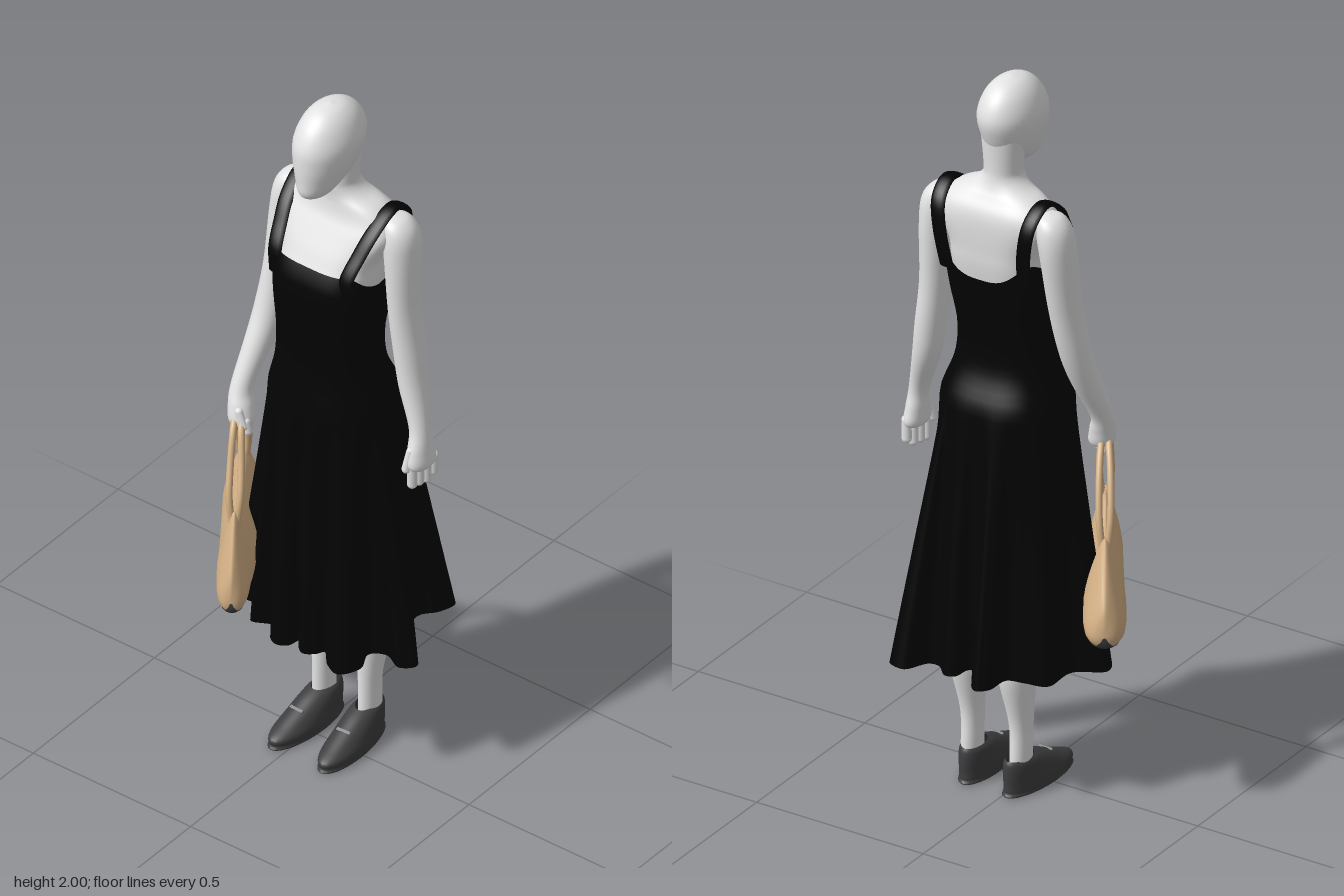
import * as THREE from 'three';

const mat = (name, color, side = THREE.FrontSide) => {
  const m = new THREE.MeshStandardMaterial({ color, side });
  m.name = name;
  return m;
};

// Smooth value of every column of a table at a fractional row index
function at(rows, t) {
  const i = Math.min(Math.floor(t), rows.length - 2), f = t - i;
  const row = k => rows[Math.max(0, Math.min(rows.length - 1, k))];
  return rows[0].map((_, c) => {
    const [a, b, d, e] = [row(i - 1)[c], row(i)[c], row(i + 1)[c], row(i + 2)[c]];
    return b + 0.5 * f * (d - a + f * (2 * a - 5 * b + 4 * d - e + f * (3 * (b - d) + e - a)));
  });
}

// Grid surface from fn(u, v); closed wraps u around
function grid(nu, nv, fn, closed = true) {
  const pos = [], idx = [], w = closed ? nu : nu + 1;
  for (let j = 0; j <= nv; j++) for (let i = 0; i < w; i++) pos.push(...fn(i / nu, j / nv));
  for (let j = 0; j < nv; j++) for (let i = 0; i < nu; i++) {
    const a = j * w + i, b = j * w + (i + 1) % w;
    idx.push(a, b, a + w, b, b + w, a + w);
  }
  const g = new THREE.BufferGeometry();
  g.setAttribute('position', new THREE.Float32BufferAttribute(pos, 3));
  g.setIndex(idx);
  g.computeVertexNormals();
  return g;
}

// Point on a rounded ring: row = [y, cx, cz, rx, rz, squareness]
function ringPoint([y, cx, cz, rx, rz, n = 2], a) {
  const p = v => Math.sign(v) * Math.abs(v) ** (2 / n);
  return [cx + Math.max(0, rx) * p(Math.cos(a)), y, cz + Math.max(0, rz) * p(Math.sin(a))];
}
const loft = (rows, nu = 36) => grid(nu, (rows.length - 1) * 5, (u, v) =>
  ringPoint(at(rows, v * (rows.length - 1)), u * Math.PI * 2));

const HEAD = [[2, .045, -.02, 0, 0], [1.99, .045, -.02, .034, .05], [1.96, .045, -.02, .062, .09],
  [1.91, .045, -.017, .079, .114], [1.86, .045, -.01, .075, .112], [1.81, .045, .002, .06, .099],
  [1.775, .045, .024, .044, .074], [1.757, .045, .034, .029, .046], [1.75, .045, .034, 0, 0]];
const TORSO = [[1.85, .045, -.06, .058, .054, 2], [1.77, .045, -.058, .051, .052, 2], [1.74, .045, -.059, .054, .053, 2],
  [1.715, .045, -.064, .078, .056, 2.2], [1.692, .047, -.07, .124, .063, 2.5], [1.66, .048, -.075, .156, .076, 2.8],
  [1.62, .05, -.067, .164, .09, 3], [1.55, .05, -.047, .134, .108, 3.1], [1.48, .05, -.033, .13, .117, 3], [1.3, .045, -.02, .115, .1, 2.5]];
const LEFT_ARM = [[1.678, .202, -.085, 0, 0], [1.669, .207, -.085, .03, .036], [1.63, .219, -.085, .045, .053],
  [1.55, .226, -.085, .044, .056], [1.4, .231, -.085, .039, .05], [1.27, .244, -.088, .039, .047],
  [1.17, .259, -.084, .036, .042], [1.06, .291, -.068, .026, .031], [1, .299, -.062, .028, .043],
  [.955, .303, -.062, .027, .046], [.935, .304, -.062, 0, 0]];
const RIGHT_ARM = [[1.678, -.11, -.085, 0, 0], [1.669, -.115, -.085, .03, .036], [1.63, -.126, -.085, .045, .053],
  [1.55, -.136, -.08, .044, .056], [1.4, -.143, -.06, .041, .05], [1.27, -.154, -.033, .04, .046],
  [1.17, -.163, .005, .036, .043], [1.06, -.174, .058, .029, .033], [1.01, -.166, .075, .033, .036],
  [.965, -.158, .083, .032, .034], [.945, -.157, .085, 0, 0]];
const LEG = [[.95, .115, -.06, .065, .08], [.6, .122, -.078, .056, .064], [.5, .124, -.098, .05, .052],
  [.4, .126, -.097, .047, .054], [.33, .126, -.096, .046, .055], [.2, .122, -.084, .029, .038],
  [.1, .121, -.085, .026, .038], [.05, .121, -.085, .026, .038]];
const SHOE = [[.1, 0, -.085, .027, .048], [.09, 0, -.074, .035, .064], [.072, 0, -.055, .041, .085], [.05, 0, -.03, .045, .11],
  [.03, 0, -.008, .048, .131], [.012, 0, -.008, .047, .131], [0, 0, -.008, .043, .126], [0, 0, -.008, 0, 0]];
const DRESS = [[1.57, .05, -.047, .141, .117, 3.2], [1.5, .05, -.033, .144, .131, 3.2], [1.42, .048, -.027, .142, .128, 3],
  [1.3, .045, -.02, .133, .119, 2.6], [1.2, .046, -.021, .14, .122, 2.5], [1.1, .048, -.035, .168, .146, 2.5]];
// Folded hem outline (x, z), starting at the side slit
const HEM = [[.23, -.1], [.3, -.04], [.338, .005], [.305, .037], [.25, .015], [.212, .04], [.232, .1], [.2, .154],
  [.155, .137], [.118, .1], [.105, .12], [.077, .138], [.05, .12], [.038, .1], [.028, .135], [0, .149], [-.028, .135],
  [-.05, .09], [-.11, .11], [-.13, .05], [-.21, .045], [-.232, -.005], [-.16, -.06], [-.15, -.155], [-.09, -.172],
  [-.045, -.185], [-.036, -.25], [-.01, -.274], [.018, -.25], [.03, -.185], [.065, -.19], [.075, -.235], [.1, -.246],
  [.14, -.212], [.168, -.215], [.205, -.275], [.256, -.262], [.245, -.21], [.213, -.165]];

// One-piece dress: fitted bodice, then straight blend from hip to folded hem with a slit
function dressGeometry() {
  const curve = new THREE.CatmullRomCurve3(HEM.map(([x, z]) => new THREE.Vector3(x, 0, z)), true);
  const hip = DRESS[DRESS.length - 1], hemY = .365, n = HEM.length * 8, TAU = Math.PI * 2;
  // Hip angle for each hem sample, kept rising and then evened out
  const raw = [];
  for (let i = 0; i < n; i++) {
    const h = curve.getPoint(i / n);
    let a = Math.atan2((h.z - hip[2]) / hip[4], (h.x - hip[1]) / hip[3]);
    if (i > n / 2 && a < 0) a += TAU;
    raw.push(i ? Math.max(a, raw[i - 1]) : a);
  }
  const angleAt = i => {
    let sum = 0;
    for (let k = i - 12; k <= i + 12; k++) sum += raw[(k + n) % n] + TAU * Math.floor(k / n);
    return sum / 25;
  };
  const indexAt = y => {
    let i = 0;
    while (i < DRESS.length - 2 && DRESS[i + 1][0] > y) i++;
    return i + (y - DRESS[i][0]) / (DRESS[i + 1][0] - DRESS[i][0]);
  };
  return grid(n, 44, (u, v) => {
    const t = Math.max(0, (v - .4) / .6), skirtY = hip[0] + (hemY - hip[0]) * t;
    const a = angleAt(Math.round(u * n)), s = Math.sin(a), c = Math.cos(a);
    if (t === 0) {
      const top = 1.49 + (s > 0 ? .05 * Math.min(1, s * 1.5) : s * (.015 - .13 * c * c));
      const y = top + (hip[0] - top) * v / .4;
      const p = ringPoint(at(DRESS, indexAt(y)), a);
      return [p[0], y, p[2]];
    }
    const slit = .62 / HEM.length * Math.max(0, (.9 - skirtY) / (.9 - hemY));
    const h = curve.getPoint(Math.min(slit + u * (1 - 2 * slit), .99999)), p = ringPoint(hip, a);
    return [p[0] + (h.x - p[0]) * t, skirtY, p[2] + (h.z - p[2]) * t];
  }, false);
}

// Shoulder strap: flat band over the shoulder, rows = [offset from centre, y, z]
function strapGeometry(side) {
  const path = [[.11, 1.47, .07], [.113, 1.54, .07], [.124, 1.6, .033], [.134, 1.65, -.006], [.14, 1.69, -.06],
    [.14, 1.692, -.105], [.135, 1.65, -.147], [.125, 1.57, -.153], [.116, 1.47, -.135]];
  const n = path.length - 1;
  return grid(12, n * 5, (u, v) => {
    const [x, y, z] = at(path, v * n), q = at(path, Math.min(v + .01, 1) * n), r = at(path, Math.max(v - .01, 0) * n);
    const a = -u * Math.PI * 2, l = Math.hypot(q[1] - r[1], q[2] - r[2]), k = Math.sin(a) * .007 / l;
    return [.05 + side * x + Math.cos(a) * .021, y - (q[2] - r[2]) * k, z + (q[1] - r[1]) * k];
  });
}

// Hobo bag surface: teardrop sections along its length, between two section angles
function bagGeometry(from, to, grow, closed) {
  const half = [[.252, .552, .552], [.249, .53, .59], [.238, .514, .63], [.2, .503, .695], [.162, .497, .75],
    [.14, .494, .768], [.115, .492, .735], [.06, .489, .702]];
  const rows = [...half.map(([s, b, t]) => [-s, b, t]), [0, .487, .692], ...half.slice().reverse()];
  return grid(28, 80, (u, v) => {
    const [s, b, t] = at(rows, v * (rows.length - 1)), a = from + u * (to - from);
    const w = .063 * (1 - .7 * s) * Math.max(0, 1 - (s / .252) ** 10) ** .5, up = (Math.cos(a) + 1) / 2;
    return [s + .02 * (1 - (s / .252) ** 2), b - grow + (t - b) * up, Math.sin(a) * w * (1.1 - .8 * up)];
  }, closed);
}

export function createModel() {
  const model = new THREE.Group();
  const skin = mat('pale grey body', 0xe4e4e4);
  const black = mat('black cloth', 0x030303, THREE.DoubleSide);
  const tan = mat('tan leather', 0xd3b085);
  const charcoal = mat('charcoal leather', 0x3e3e40, THREE.DoubleSide);
  const metal = mat('grey metal', 0x77777a);
  const add = (name, geo, material, parent = model) => {
    const m = new THREE.Mesh(geo, material);
    m.name = name;
    parent.add(m);
    return m;
  };
  const capsule = (name, from, to, r) => {
    const a = new THREE.Vector3(...from), d = new THREE.Vector3(...to).sub(a);
    const m = add(name, new THREE.CapsuleGeometry(r, d.length(), 4, 10), skin);
    m.position.copy(a).addScaledVector(d, .5);
    m.quaternion.setFromUnitVectors(new THREE.Vector3(0, 1, 0), d.normalize());
  };

  // Body
  add('head', loft(HEAD), skin);
  add('torso', loft(TORSO, 48), skin);
  add('leftArm', loft(LEFT_ARM), skin);
  add('rightArm', loft(RIGHT_ARM), skin);

  // Fingers: left hangs open, right curls around the bag handles
  for (let i = 0; i < 4; i++) {
    const z = -.031 - i * .021, x = .296 + i * .006;
    capsule('leftFinger', [x, .965, z], [x - .002, .9 + (i === 3 ? .015 : 0), z - .002], .0135);
    capsule('rightFinger', [-.183 + i * .016, .975, .072 + i * .008], [-.172 + i * .014, .948, .072 + i * .008], .0125);
  }
  capsule('leftThumb', [.293, 1.005, -.03], [.285, .95, -.02], .012);
  capsule('rightThumb', [-.15, 1.005, .105], [-.135, .965, .105], .011);

  // Legs and loafers
  for (const [side, x, turn] of [['left', 0, .06], ['right', -.146, -.06]]) {
    add(side + 'Leg', loft(LEG).translate(x, 0, 0), skin);
    const shoe = new THREE.Group();
    shoe.name = side + 'Shoe';
    shoe.position.x = .121 + x;
    shoe.rotation.y = turn;
    model.add(shoe);
    add('shoeUpper', loft(SHOE), charcoal, shoe);
    const bar = add('shoeBar', new THREE.BoxGeometry(.04, .006, .008), metal, shoe);
    bar.position.set(0, .073, .028);
    bar.rotation.x = .5;
  }

  // Dress and straps
  add('dress', dressGeometry(), black);
  for (const side of [-1, 1]) add('strap', strapGeometry(side), black);

  // Handbag with dark base and two handles
  const bag = new THREE.Group();
  bag.name = 'handbag';
  bag.position.set(-.18, 0, .064);
  bag.rotation.y = -1;
  model.add(bag);
  add('bagBody', bagGeometry(0, Math.PI * 2, 0, true), tan, bag);
  add('bagBase', bagGeometry(Math.PI * .82, Math.PI * 1.18, .003, false), charcoal, bag);
  for (const z of [-1, 1]) {
    const path = [[-.125, .73, .006], [-.11, .81, .014], [-.055, .92, .014], [-.005, .975, .01], [.03, .985, .008],
      [.065, .965, .01], [.11, .88, .014], [.145, .8, .014], [.155, .73, .006]];
    const curve = new THREE.CatmullRomCurve3(path.map(p => new THREE.Vector3(p[0], p[1], p[2] * z)));
    add('bagHandle', new THREE.TubeGeometry(curve, 48, .009, 10), tan, bag);
  }
  return model;
}
